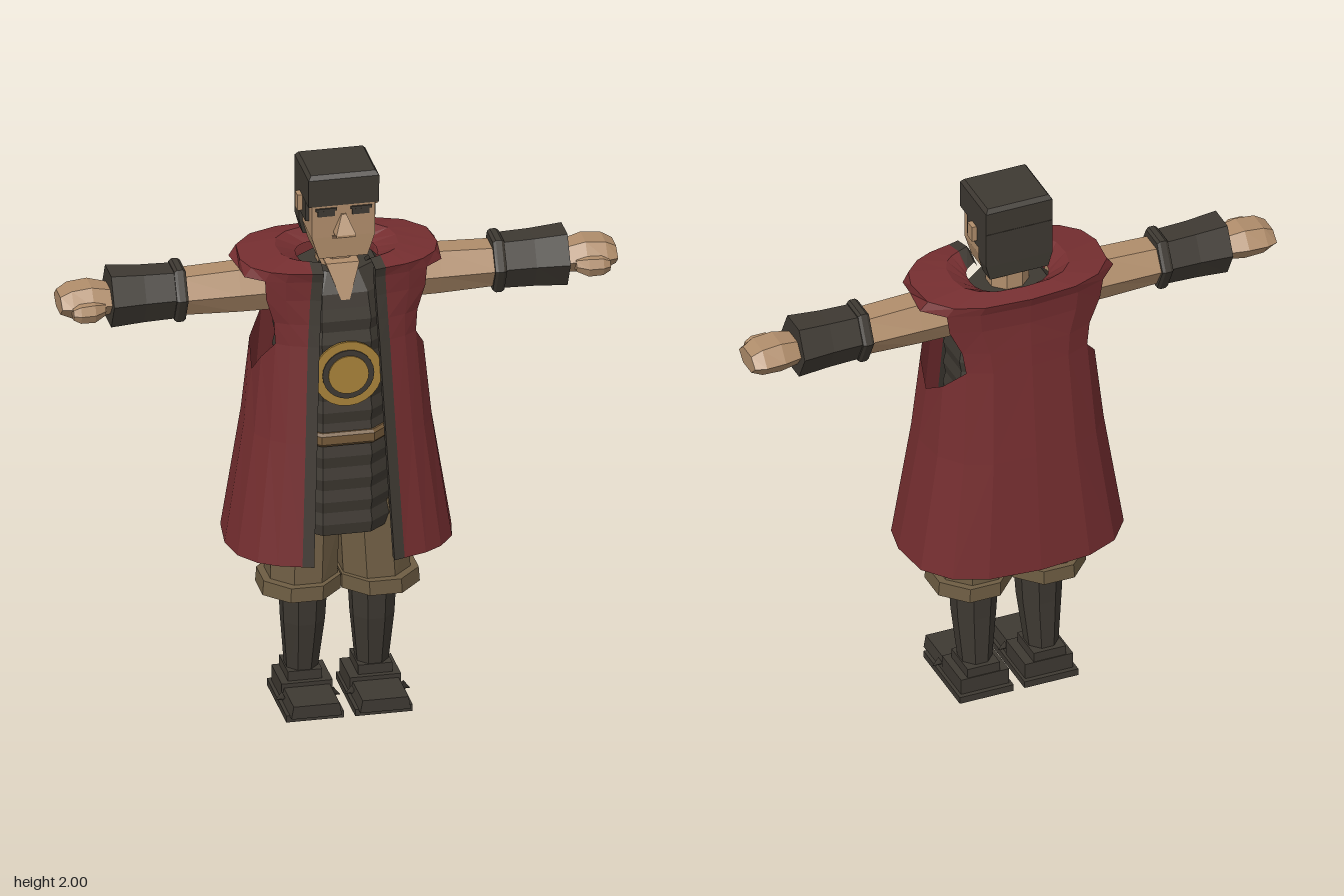
import * as THREE from 'three';

const mat = (name, color, side = THREE.FrontSide) => {
  const m = new THREE.MeshStandardMaterial({ color, side });
  m.name = name;
  return m;
};

// One polygon ring at height y; X and Z are its half extents.
function ring(n, y, X, Z, cx = 0, cz = 0, rot = 0.5) {
  const a = Array.from({ length: n }, (_, j) => ((j + rot) / n) * Math.PI * 2);
  const mx = Math.max(...a.map((t) => Math.abs(Math.sin(t))));
  const mz = Math.max(...a.map((t) => Math.abs(Math.cos(t))));
  return a.map((t) => [cx + (X * Math.sin(t)) / mx, y, cz + (Z * Math.cos(t)) / mz]);
}

// Flat-shaded geometry from triangles.
function facets(tris) {
  const g = new THREE.BufferGeometry();
  g.setAttribute('position', new THREE.Float32BufferAttribute(tris.flat(2), 3));
  g.computeVertexNormals();
  return g;
}

// Closed, capped loft through rings listed from bottom to top.
function loft(rings) {
  const t = [], n = rings[0].length, top = rings[rings.length - 1], bot = rings[0];
  for (let i = 0; i < rings.length - 1; i++) {
    for (let j = 0; j < n; j++) {
      const k = (j + 1) % n, a = rings[i], b = rings[i + 1];
      t.push([a[j], a[k], b[k]], [a[j], b[k], b[j]]);
    }
  }
  for (let j = 1; j < n - 1; j++) t.push([top[0], top[j], top[j + 1]], [bot[0], bot[j + 1], bot[j]]);
  return facets(t);
}

export function createModel() {
  const model = new THREE.Group();
  const red = mat('cape red', 0x752e30, THREE.DoubleSide);
  const trim = mat('trim dark', 0x3f3a33, THREE.DoubleSide);
  const dark = mat('dark leather', 0x3e3932);
  const skin = mat('skin', 0xb08d6b);
  const khaki = mat('trouser khaki', 0x6e5d43);
  const brown = mat('belt brown', 0x755a3a);
  const gold = mat('gold', 0xa8823a);
  const mouthBrown = mat('mouth brown', 0x735a45);

  const add = (name, geo, m, parent = model) => {
    const mesh = new THREE.Mesh(geo, m);
    mesh.name = name;
    parent.add(mesh);
    return mesh;
  };
  const box = (name, m, x0, x1, y0, y1, z0, z1) => add(name,
    new THREE.BoxGeometry(Math.abs(x1 - x0), y1 - y0, z1 - z0)
      .translate((x0 + x1) / 2, (y0 + y1) / 2, (z0 + z1) / 2), m);

  // Tunic with shallow horizontal folds
  const folds = [];
  for (let i = 0; i <= 20; i++) {
    const y = 0.67 + i * 0.042, out = i % 2 ? 0.008 : 0;
    folds.push(ring(8, y, 0.2 + out, 0.17 - Math.max(0, y - 1.2) * 0.06 + out));
  }
  folds.push(ring(8, 1.56, 0.19, 0.14), ring(8, 1.63, 0.13, 0.1));
  add('tunic', loft(folds), dark);
  add('belt', loft([1.01, 1.02, 1.05, 1.06].map((y, i) => {
    const o = i % 3 ? 0.19 : 0.182;
    return ring(8, y, o + 0.03, o);
  })), brown);

  // Round chest emblem
  [['emblemRim', 0.12, 0.184, gold], ['emblemGroove', 0.09, 0.189, dark], ['emblemCentre', 0.07, 0.194, gold]]
    .forEach(([name, r, z, m]) => add(name,
      new THREE.CylinderGeometry(r, r, 0.009, 24).rotateX(Math.PI / 2).translate(0, 1.28, z), m));

  // Cape rows: height, half width, half depth, half opening
  const rows = [
    [0.61, 0.395, 0.29, 0.14],
    [1.05, 0.325, 0.248, 0.12],
    [1.4, 0.297, 0.212, 0.105],
    [1.48, 0.31, 0.205, 0.1],
    [1.57, 0.36, 0.197, 0.095],
    [1.64, 0.372, 0.2, 0.09],
    [1.675, 0.345, 0.212, 0.09],
    [1.69, 0.21, 0.15, 0.085],
    [1.655, 0.14, 0.105, 0.08],
  ];
  const cols = [0, 0.09, 0.18, 0.3, 0.42, 0.56, 0.72, 0.86, 1];
  const armpit = [0, 0, 0, 0.07, 0.15, 0.08, 0, 0, 0];
  const P = 0.77;
  const openAngle = (w, X) => Math.asin(Math.pow(Math.min(w / X, 0.88), 1 / P));
  const onRow = ([y, X, Z], a, s) => {
    const c = Math.cos(a);
    return [s * X * Math.pow(Math.max(0, Math.sin(a)), P), y, Z * Math.sign(c) * Math.pow(Math.abs(c), P)];
  };
  for (const s of [1, -1]) {
    const side = s > 0 ? 'left' : 'right';
    const cloth = [], border = [];
    const quad = (list, a, b, c, d) => (s > 0
      ? list.push([a, b, c], [a, c, d]) : list.push([a, c, b], [a, d, c]));
    const grid = rows.map((r, i) => {
      const a0 = openAngle(r[3] + 0.038, r[1]);
      return cols.map((t, j) => {
        const p = onRow(r, a0 + (Math.PI - a0) * t, s);
        if (i === 2) p[1] -= armpit[j];
        if (i === 5 && j === 4) p[0] -= s * 0.025;
        return p;
      });
    });
    const edge = rows.map((r) => {
      const p = onRow(r, openAngle(r[3], r[1]), s);
      p[2] += 0.006;
      return p;
    });
    for (let i = 0; i < rows.length - 1; i++) {
      for (let j = 0; j < cols.length - 1; j++) {
        if (i >= 2 && i < 5 && j >= 2 && j < 6) continue; // armhole
        quad(cloth, grid[i][j], grid[i][j + 1], grid[i + 1][j + 1], grid[i + 1][j]);
      }
      quad(border, edge[i], grid[i][0], grid[i + 1][0], edge[i + 1]);
      // folded-back inner lip of the border
      const back = (p) => [p[0], p[1], p[2] - 0.03];
      quad(border, back(edge[i]), edge[i], edge[i + 1], back(edge[i + 1]));
    }
    add(side + 'Cape', facets(cloth), red);
    add(side + 'CapeTrim', facets(border), trim);

    // Arm, bracer and hand, lofted upright then laid along x
    const limb = (name, m, list) => add(name, loft(list.map(([x, h, d, up = 0, cz = 0]) =>
      ring(6, x, h, d, -s * up, cz, 0))).rotateZ((-s * Math.PI) / 2).translate(0, 1.56, 0), m);
    limb(side + 'Arm', skin, [[0.17, 0.08, 0.085], [0.35, 0.078, 0.085], [0.56, 0.07, 0.085]]);
    limb(side + 'Bracer', dark, [[0.57, 0.085, 0.088, 0.005], [0.68, 0.088, 0.09, 0.005], [0.795, 0.095, 0.1, 0.006]]);
    limb(side + 'BracerBand', dark, [[0.535, 0.09, 0.095, 0.005], [0.545, 0.097, 0.1, 0.005],
      [0.565, 0.097, 0.1, 0.005], [0.575, 0.09, 0.095, 0.005]]);
    limb(side + 'Hand', skin, [[0.79, 0.045, 0.07], [0.86, 0.055, 0.085, 0.005, -0.005],
      [0.93, 0.05, 0.085, 0.003, -0.005], [0.968, 0.032, 0.07, 0, -0.005]]);
    limb(side + 'Thumb', skin, [[0.82, 0.02, 0.02, -0.01, 0.065], [0.86, 0.032, 0.03, -0.012, 0.08],
      [0.91, 0.03, 0.028, -0.012, 0.083], [0.935, 0.018, 0.018, -0.012, 0.082]]);

    // Trouser leg and cuff
    add(side + 'Trouser', loft([ring(8, 0.46, 0.117, 0.12, s * 0.128, 0.015),
      ring(8, 0.66, 0.117, 0.11, s * 0.119, 0.01), ring(8, 0.95, 0.09, 0.1, s * 0.095)]), khaki);
    add(side + 'TrouserCuff', loft([ring(8, 0.425, 0.136, 0.145, s * 0.138, 0.018),
      ring(8, 0.477, 0.134, 0.143, s * 0.136, 0.018)]), khaki);

    // Boot
    add(side + 'BootShaft', loft([ring(8, 0.1, 0.053, 0.058, s * 0.123, -0.005),
      ring(8, 0.3, 0.072, 0.075, s * 0.121, 0.012), ring(8, 0.46, 0.08, 0.085, s * 0.12, 0.015)]), dark);
    box(side + 'BootAnkle', dark, s * 0.063, s * 0.182, 0.08, 0.118, -0.08, 0.06);
    box(side + 'BootHeel', dark, s * 0.03, s * 0.208, 0.02, 0.083, -0.083, 0.08);
    add(side + 'BootToe', loft([ring(4, 0.022, 0.088, 0.085, s * 0.12, 0.152),
      ring(4, 0.068, 0.08, 0.085, s * 0.12, 0.152)]), dark);
    box(side + 'BootSole', dark, s * 0.02, s * 0.22, 0, 0.025, -0.1, 0.21);
    for (const k of [1, -1]) {
      add(side + 'BootStud', new THREE.ConeGeometry(0.018, 0.035, 4)
        .rotateZ(-k * 2).translate(s * 0.122 + k * 0.098, 0.042, 0.1), dark);
    }

    // Side hair, ear and eye
    box(side + 'SideHair', dark, s * 0.1, s * 0.122, 1.81, 1.9, -0.05, 0.065);
    box(side + 'Ear', skin, s * 0.11, s * 0.14, 1.83, 1.888, -0.02, 0.018);
    box(side + 'Eye', dark, s * 0.03, s * 0.09, 1.845, 1.865, 0.112, 0.119);
    box(side + 'Brow', dark, s * 0.024, s * 0.098, 1.867, 1.876, 0.11, 0.123);
  }

  // Neck and open collar
  add('neck', loft([ring(8, 1.55, 0.07, 0.065), ring(8, 1.74, 0.068, 0.065, 0, 0.005)]), skin);
  add('openCollar', loft([ring(4, 1.54, 0.015, 0.02, 0, 0.128), ring(4, 1.66, 0.058, 0.05, 0, 0.055)]), skin);

  // Head
  add('head', loft([ring(4, 1.685, 0.085, 0.085, 0, 0.025), ring(4, 1.765, 0.11, 0.1, 0, 0.014),
    ring(4, 1.92, 0.11, 0.103, 0, 0.013)]), skin);
  add('nose', loft([ring(4, 1.78, 0.034, 0.025, 0, 0.135), ring(4, 1.788, 0.034, 0.025, 0, 0.135),
    ring(4, 1.85, 0.008, 0.008, 0, 0.114)]), skin);
  box('mouth', mouthBrown, -0.04, 0.04, 1.758, 1.77, 0.108, 0.117);

  // Hair
  add('hairTop', loft([ring(4, 1.885, 0.123, 0.11, 0, 0.01), ring(4, 1.985, 0.123, 0.112, 0, 0.01),
    ring(4, 2, 0.112, 0.1, 0, 0.01)]), dark);
  add('hairBack', loft([ring(4, 1.715, 0.108, 0.03, 0, -0.07), ring(4, 1.77, 0.123, 0.034, 0, -0.068),
    ring(4, 1.9, 0.123, 0.034, 0, -0.068)]), dark);

  return model;
}
